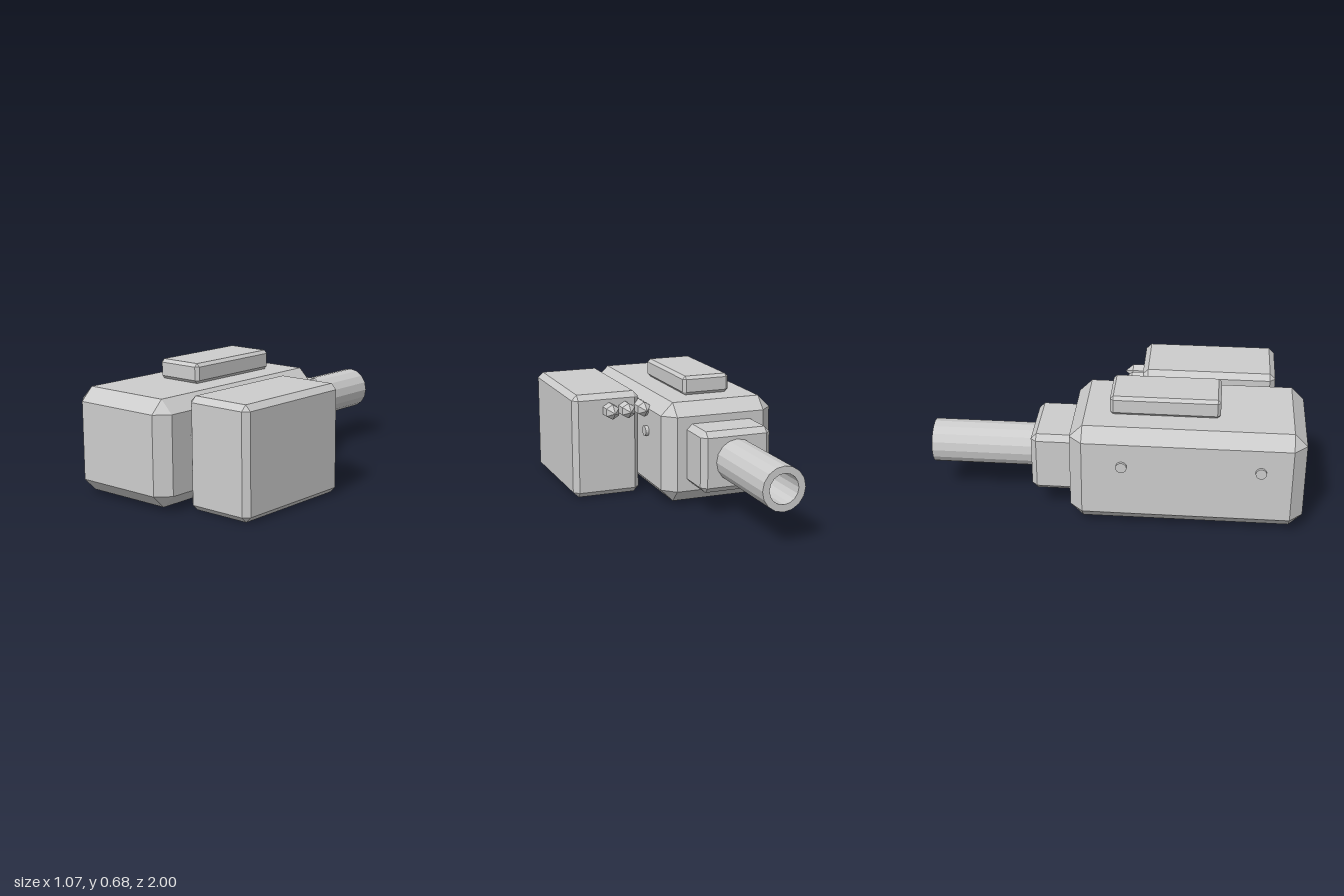
import * as THREE from 'three';
import { ConvexGeometry } from 'three/addons/geometries/ConvexGeometry.js';

const grey = new THREE.MeshStandardMaterial({ color: 0xcccccc, flatShading: true });
grey.name = 'grey';

// Box between two corners with every edge chamfered by b
function chamferBox(min, max, b) {
  const points = [];
  for (let corner = 0; corner < 8; corner++) {
    for (let axis = 0; axis < 3; axis++) {
      // each corner becomes a triangle: one point on each adjoining face
      const p = [0, 1, 2].map((i) => {
        const inset = i === axis ? 0 : b;
        return corner & (1 << i) ? max[i] - inset : min[i] + inset;
      });
      points.push(new THREE.Vector3(...p));
    }
  }
  return new ConvexGeometry(points);
}

export function createModel() {
  const group = new THREE.Group();
  const add = (name, geometry, x = 0, y = 0, z = 0) => {
    const mesh = new THREE.Mesh(geometry, grey);
    mesh.name = name;
    mesh.position.set(x, y, z);
    group.add(mesh);
    return mesh;
  };

  // Chamfered housings
  add('body', chamferBox([-0.52, 0.016, -0.232], [0.125, 0.57, 1], 0.069));
  add('topPlate', chamferBox([-0.333, 0.57, -0.03], [-0.061, 0.676, 0.55], 0.017));
  add('ammoBox', chamferBox([0.147, 0, 0.108], [0.533, 0.585, 0.846], 0.03));
  add('barrelBlock', chamferBox([-0.4, 0.126, -0.447], [0, 0.46, -0.15], 0.03));

  // Hollow barrel pointing to -z
  const outer = 0.118, inner = 0.08, length = 0.555;
  const profile = [[inner, 0], [inner, length], [outer, length], [outer, 0]]
    .reverse().map(([r, h]) => new THREE.Vector2(r, h));
  const barrel = new THREE.LatheGeometry(profile, 16);
  barrel.rotateX(-Math.PI / 2);
  add('barrel', barrel, -0.198, 0.295, -0.445);

  // Pins running through the body
  const pin = new THREE.CylinderGeometry(0.029, 0.029, 0.679, 16);
  pin.rotateZ(Math.PI / 2);
  for (const z of [0.046, 0.768]) add('pin', pin, -0.1955, 0.372, z);

  // Row of six-sided cartridges feeding out of the box
  const casing = new THREE.CylinderGeometry(0.042, 0.042, 0.18, 6);
  casing.rotateX(-Math.PI / 2);
  const tip = new THREE.ConeGeometry(0.042, 0.045, 6);
  tip.rotateX(-Math.PI / 2);
  for (let i = 0; i < 3; i++) {
    const x = 0.142 + i * 0.092;
    add('cartridgeCase', casing, x, 0.494, 0.135);
    add('cartridgeTip', tip, x, 0.494, 0.0225);
  }
  return group;
}
